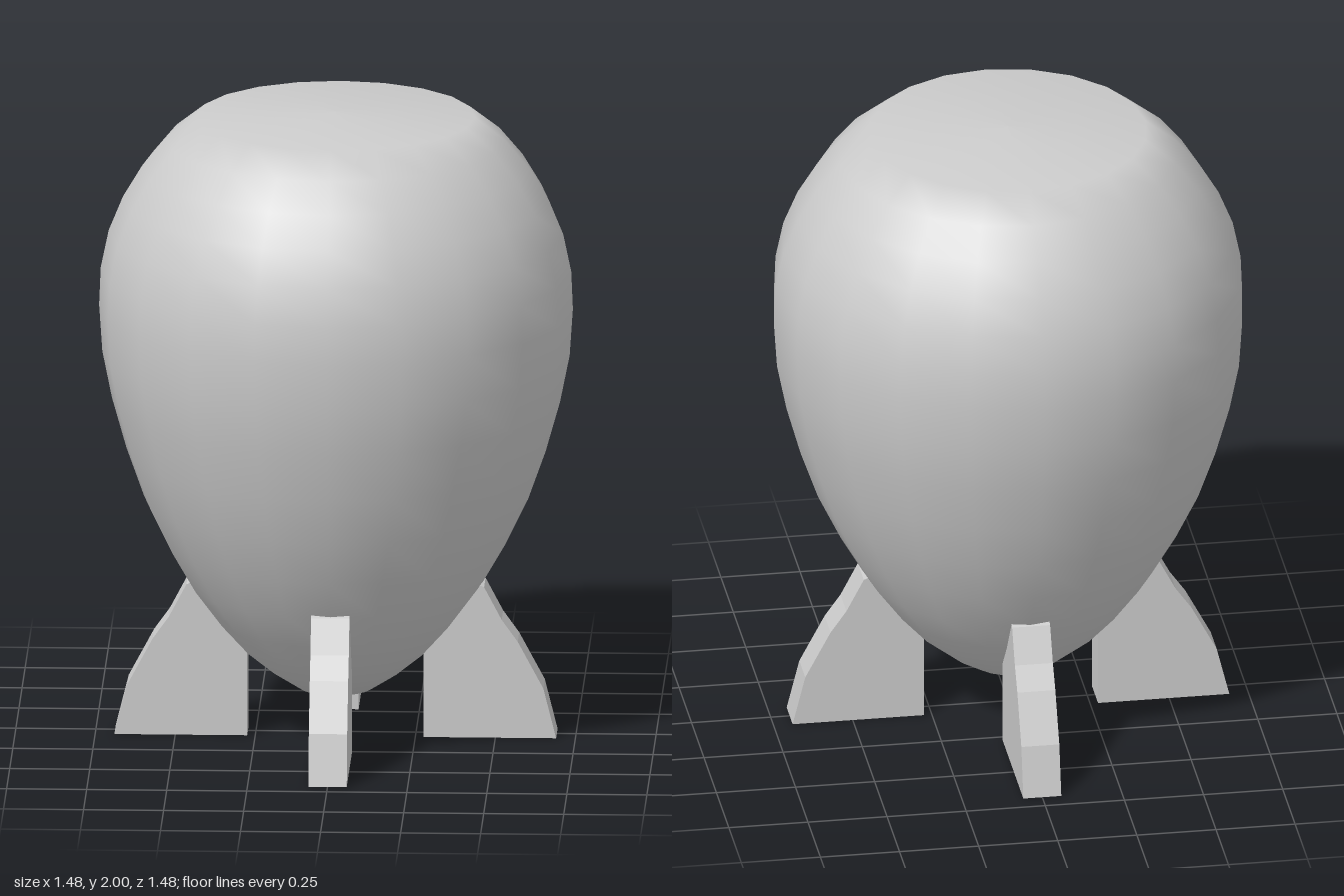
import * as THREE from 'three';

export function createModel() {
  const model = new THREE.Group();
  model.name = 'finnedPod';
  const material = new THREE.MeshStandardMaterial({ color: 0xcccccc });

  // Egg-shaped hull with a nearly flat, slightly domed top
  const profile = [
    [0, 0.13], [0.04, 0.13], [0.115, 0.145], [0.2, 0.2], [0.285, 0.27],
    [0.37, 0.365], [0.455, 0.48], [0.53, 0.61], [0.6, 0.755], [0.655, 0.91],
    [0.7, 1.07], [0.73, 1.22], [0.74, 1.37], [0.735, 1.49], [0.71, 1.61],
    [0.665, 1.72], [0.605, 1.82], [0.53, 1.91], [0.435, 1.985], [0, 2],
  ].map(([r, y]) => new THREE.Vector2(r, y));
  const hull = new THREE.Mesh(new THREE.LatheGeometry(profile, 20), material);
  hull.name = 'hull';
  model.add(hull);

  // Four flared fins, their inner ends sunk into the hull
  const finShape = new THREE.Shape([
    [0.275, 0], [0.69, 0], [0.65, 0.16], [0.57, 0.31], [0.52, 0.38],
    [0.465, 0.485], [0.43, 0.5], [0.275, 0.48],
  ].map(([x, y]) => new THREE.Vector2(x, y)));
  const thickness = 0.12;
  const finGeometry = new THREE.ExtrudeGeometry(finShape, { depth: thickness, bevelEnabled: false });
  finGeometry.translate(0, 0, -thickness / 2);
  ['left', 'back', 'right', 'front'].forEach((side, i) => {
    const fin = new THREE.Mesh(finGeometry, material);
    fin.name = side + 'Fin';
    fin.rotation.y = i * Math.PI / 2;
    model.add(fin);
  });

  return model;
}
